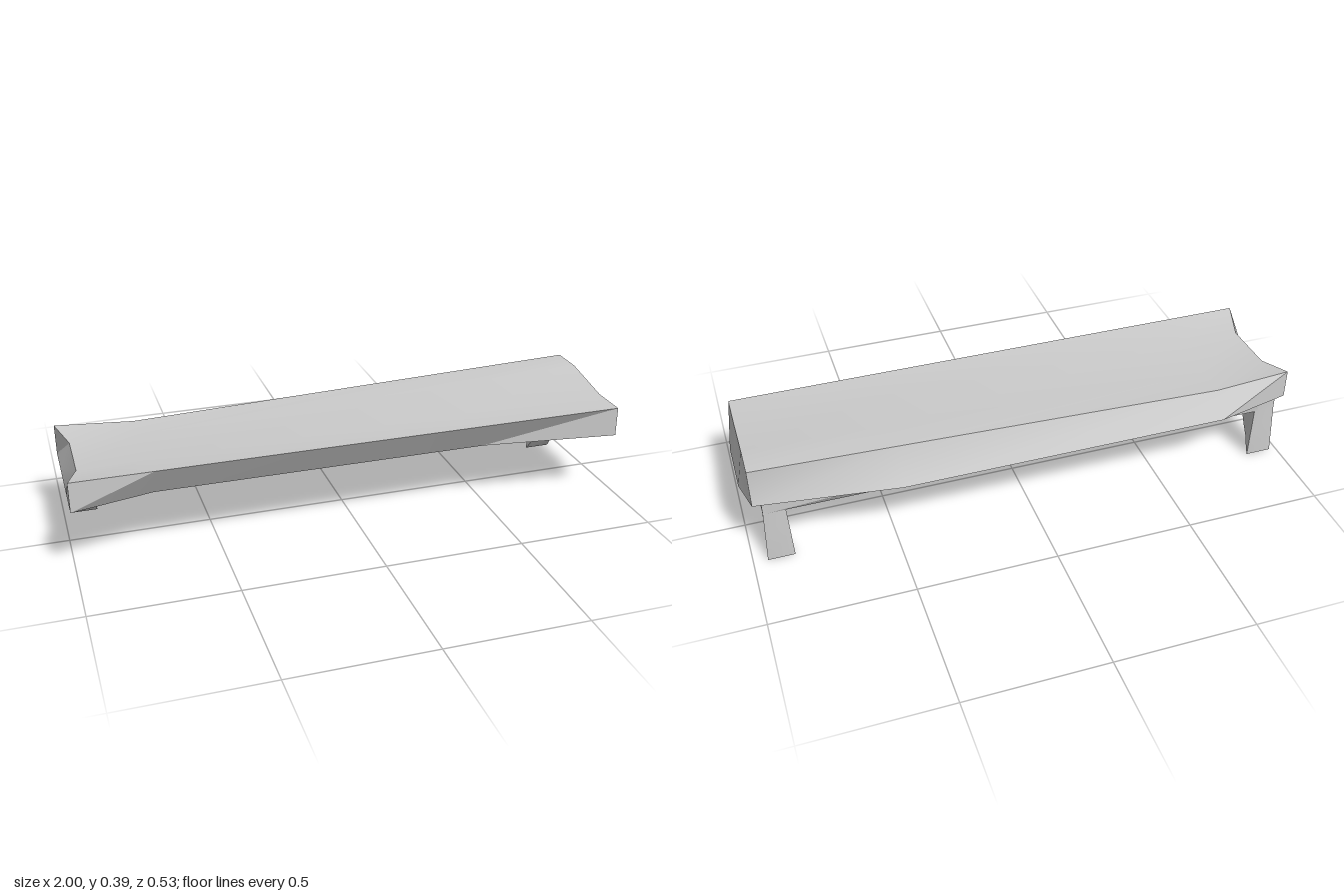
import * as THREE from 'three';
import { toCreasedNormals } from 'three/addons/utils/BufferGeometryUtils.js';

const material = new THREE.MeshStandardMaterial({ color: 0xcccccc });

function part(name, geometry, crease = 0.5) {
  const mesh = new THREE.Mesh(toCreasedNormals(geometry, crease), material);
  mesh.name = name;
  return mesh;
}

// Closed loft along x. Each section runs top front -> top back, then bottom back -> bottom front.
function loft(sections) {
  const n = sections[0].length;
  const last = (sections.length - 1) * n;
  const index = [];
  for (let s = 0; s < last; s += n) {
    for (let i = 0; i < n; i++) {
      const j = (i + 1) % n;
      const a = s + i, b = s + j, c = s + n + j, d = s + n + i;
      index.push(a, d, c, a, c, b);
    }
  }
  for (let i = 0; i < n / 2 - 1; i++) {
    const p = i, q = i + 1, r = n - 2 - i, t = n - 1 - i;
    index.push(p, q, r, p, r, t);
    index.push(last + p, last + t, last + r, last + p, last + r, last + q);
  }
  const geometry = new THREE.BufferGeometry();
  geometry.setAttribute('position', new THREE.Float32BufferAttribute(sections.flat(2), 3));
  geometry.setIndex(index);
  return geometry.toNonIndexed();
}

// Worn slab: uneven top, underside pushed backwards between the ends
function slab() {
  const zRows = [0.266, 0.13, -0.08, -0.2];
  const stations = [
    { top: [-1, -0.96, -0.96, -1], bottom: [-1, -1, -1, -1], y: [0.355, 0.33, 0.335, 0.355], shift: 0 },
    { top: Array(4).fill(-0.72), bottom: Array(4).fill(-0.72), y: [0.355, 0.335, 0.335, 0.335], shift: -0.065 },
    { top: Array(4).fill(0.47), bottom: Array(4).fill(0.47), y: [0.355, 0.349, 0.375, 0.376], shift: -0.065 },
    { top: Array(4).fill(0.972), bottom: [0.972, 1, 1, 0.972], y: [0.355, 0.355, 0.393, 0.393], shift: 0 },
  ];
  return loft(stations.map(({ top, bottom, y, shift }) => [
    ...zRows.map((z, i) => [top[i], y[i], z]),
    ...zRows.map((z, i) => [bottom[i], 0.247, z + shift]).reverse(),
  ]));
}

// Rail between the legs, its back bulging near the slab
function rail() {
  const stations = [[-0.9, -0.198, 0.197], [-0.55, -0.225, 0.199], [0.5, -0.225, 0.202], [0.93, -0.198, 0.203]];
  return loft(stations.map(([x, back, y]) => [
    [x, 0.25, -0.046], [x, 0.25, back], [x, y, -0.198], [x, y, -0.046],
  ]));
}

// Bracket-shaped leg, wider at the foot and shoulder than at the waist
function leg() {
  const profile = [
    [-0.203, 0], [-0.19, 0.013], [-0.16, 0.06], [-0.13, 0.09], [-0.105, 0.14], [-0.07, 0.175],
    [-0.045, 0.18], [-0.055, 0.198], [-0.065, 0.215], [-0.065, 0.25],
    [-0.197, 0.25], [-0.197, 0.2], [-0.203, 0.1],
  ].map(([z, y]) => new THREE.Vector2(z, y));
  const geometry = new THREE.ExtrudeGeometry(new THREE.Shape(profile), { depth: 1, bevelEnabled: false });
  geometry.translate(0, 0, -0.5).rotateY(-Math.PI / 2);
  const position = geometry.attributes.position;
  for (let i = 0; i < position.count; i++) {
    const y = position.getY(i);
    const width = y < 0.11 ? 0.095 - 0.27 * y : 0.066 + 0.17 * Math.min(y - 0.11, 0.07);
    position.setX(i, position.getX(i) * width);
  }
  return geometry;
}

export function createModel() {
  const group = new THREE.Group();
  group.name = 'bench';
  group.add(part('slab', slab()), part('rail', rail()));
  for (const [name, x] of [['leftLeg', 0.903], ['rightLeg', -0.927]]) {
    const mesh = part(name, leg());
    mesh.position.x = x;
    group.add(mesh);
  }
  return group;
}
